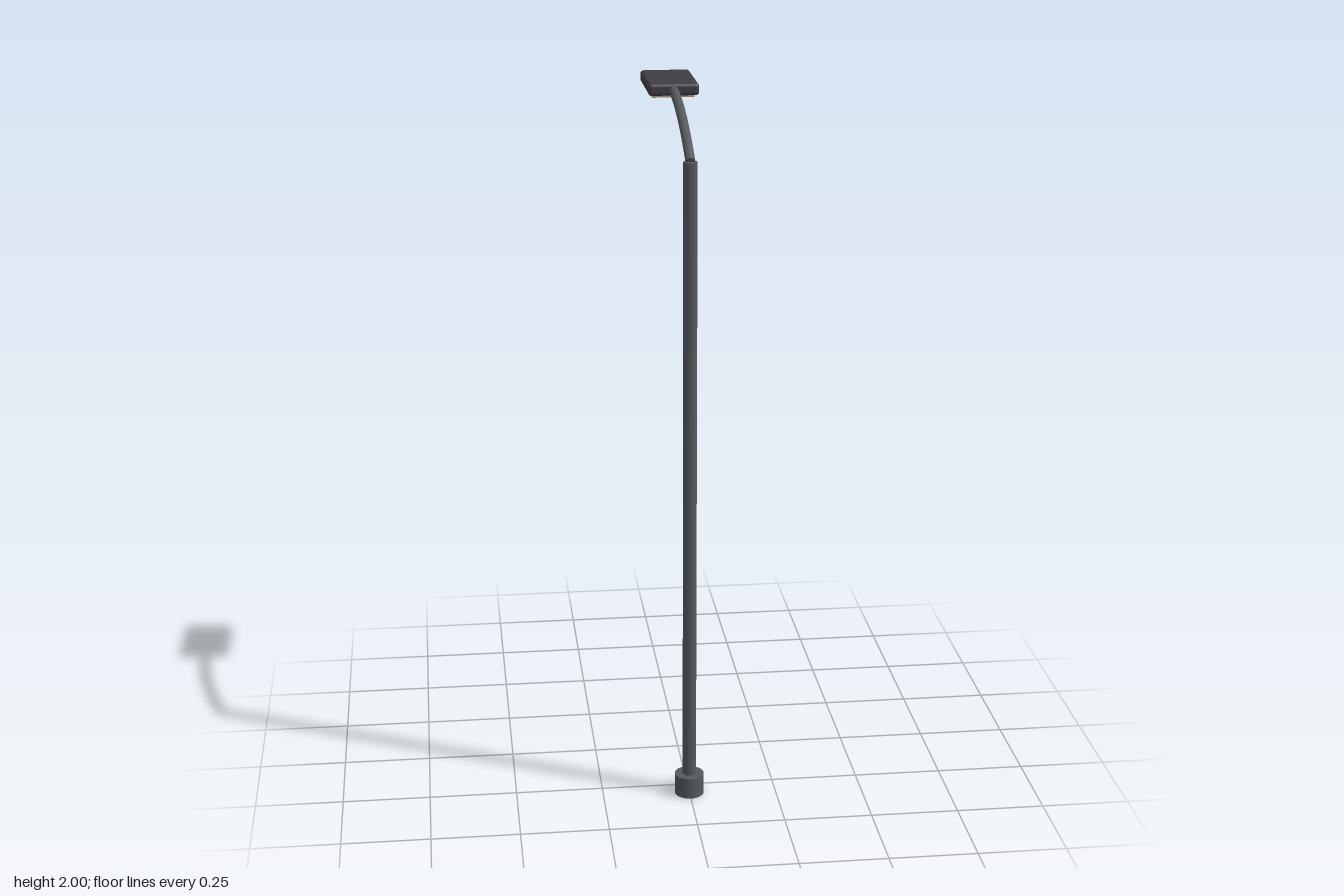
import * as THREE from 'three';
import { RoundedBoxGeometry } from 'three/addons/geometries/RoundedBoxGeometry.js';

const POLE_Z = 0.3;
const HEAD_Z = -0.2175;

export function createModel() {
  const model = new THREE.Group();
  model.name = 'streetLamp';

  const poleMetal = new THREE.MeshStandardMaterial({ color: 0x555a5d });
  const headMetal = new THREE.MeshStandardMaterial({ color: 0x403e43 });
  const glass = new THREE.MeshStandardMaterial({ color: 0xa89d7c });

  const add = (name, geometry, material, x, y, z) => {
    const mesh = new THREE.Mesh(geometry, material);
    mesh.name = name;
    mesh.position.set(x, y, z);
    model.add(mesh);
  };

  // Base collar and upright
  add('base', new THREE.CylinderGeometry(0.042, 0.042, 0.062, 32), poleMetal, 0, 0.031, POLE_Z);
  add('pole', new THREE.CylinderGeometry(0.0195, 0.0195, 1.8, 24), poleMetal, 0, 0.96, POLE_Z);

  // Curved arm, rising from the pole top into the lamp head
  const armCurve = new THREE.QuadraticBezierCurve3(
    new THREE.Vector3(0, 1.86, POLE_Z),
    new THREE.Vector3(0, 1.968, 0.1),
    new THREE.Vector3(0, 1.98, -0.11)
  );
  add('arm', new THREE.TubeGeometry(armCurve, 32, 0.0135, 16), poleMetal, 0, 0, 0);

  // Cap closing the lower end of the arm
  const cap = new THREE.CircleGeometry(0.0135, 16);
  cap.lookAt(armCurve.getTangent(0).negate());
  add('armCap', cap, poleMetal, 0, 1.86, POLE_Z);

  // Flat lamp head with a light panel underneath
  add('lampHead', new RoundedBoxGeometry(0.144, 0.034, 0.25, 4, 0.01), headMetal, 0, 1.983, HEAD_Z);
  add('lightPanel', new THREE.BoxGeometry(0.12, 0.012, 0.212), glass, 0, 1.965, HEAD_Z);

  return model;
}
